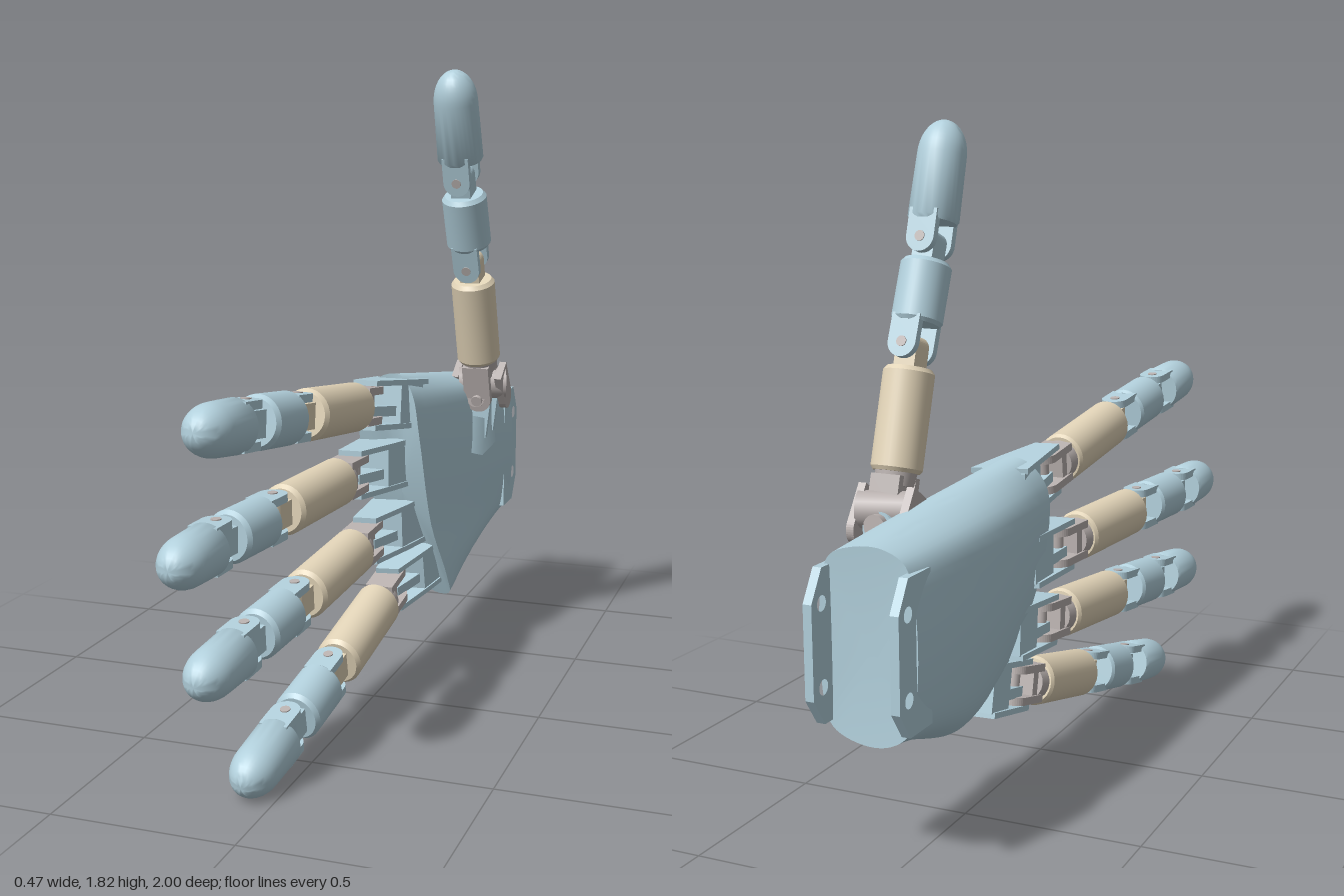
import * as THREE from 'three';
import { toCreasedNormals } from 'three/addons/utils/BufferGeometryUtils.js';

const blue = new THREE.MeshStandardMaterial({ color: 0xb2d0dc });
const tan = new THREE.MeshStandardMaterial({ color: 0xe2d4b8 });
const grey = new THREE.MeshStandardMaterial({ color: 0xbab2b0 });
const V = (x, y, z) => new THREE.Vector3(x, y, z);
const R = 0.071; // finger radius

function add(parent, name, geo, mat, x = 0, y = 0, z = 0) {
  const m = new THREE.Mesh(geo, mat);
  m.name = name;
  m.position.set(x, y, z);
  parent.add(m);
  return m;
}

// Flat plate: outline of [depth, along] points, extruded along local x and centred on it
function plate(outline, thickness, holes = []) {
  const s = outline instanceof THREE.Shape ? outline
    : new THREE.Shape(outline.map(([d, y]) => new THREE.Vector2(-d, y)));
  for (const [d, y, r] of holes) s.holes.push(new THREE.Path().absarc(-d, y, r, 0, Math.PI * 2, true));
  return new THREE.ExtrudeGeometry(s, { depth: thickness, bevelEnabled: false, curveSegments: 10 })
    .translate(0, 0, -thickness / 2).rotateY(Math.PI / 2);
}

// Strip with one round end; the round end is at y = 0, the straight end at y = len (either sign)
function tabShape(w, len) {
  const s = new THREE.Shape();
  const up = len > 0;
  s.moveTo(-w, len);
  s.lineTo(-w, 0);
  s.absarc(0, 0, w, Math.PI, up ? Math.PI * 2 : 0, !up);
  s.lineTo(w, len);
  s.closePath();
  return s;
}

const lathe = (pts) => toCreasedNormals(
  new THREE.LatheGeometry(pts.map(([r, y]) => new THREE.Vector2(r, y)), 32), 0.6);

// Group whose y axis runs from a to b, x is the hinge axis and z faces the palm side
function frame(parent, name, a, b) {
  const g = new THREE.Group();
  g.name = name;
  const Y = b.clone().sub(a).normalize();
  const X = Y.clone().cross(V(1, 0, 0)).normalize();
  g.setRotationFromMatrix(new THREE.Matrix4().makeBasis(X, Y, X.clone().cross(Y)));
  g.position.copy(a);
  parent.add(g);
  return g;
}

const hingePin = (len, r) => new THREE.CylinderGeometry(r, r, len, 16).rotateZ(Math.PI / 2);

// Forked start, round body, tongue towards the next hinge
function phalanx(g, mat, len, fork) {
  const a = 0.06, b = len - 0.055;
  add(g, 'body', lathe([[0, a], [R - 0.007, a], [R, a + 0.01], [R, b - 0.012], [R - 0.01, b], [0, b]]), mat)
    .scale.z = 0.94;
  add(g, 'tongue', plate(tabShape(0.03, -0.06), 0.07), mat, 0, len);
  if (fork) forkArms(g, mat);
}

function forkArms(g, mat) {
  for (const s of [-1, 1]) add(g, 'forkArm', plate(tabShape(0.04, 0.075), 0.022), mat, s * 0.051);
  add(g, 'hingePin', hingePin(0.13, 0.014), grey);
}

function fingertip(g, mat, len) {
  const pts = [[0, 0.05], [R - 0.007, 0.05], [R - 0.001, 0.06]];
  const start = len - 0.095;
  for (let i = 0; i <= 10; i++) {
    const t = (i / 10) * Math.PI / 2;
    pts.push([Math.max(0, 0.067 * Math.cos(t)), start + 0.095 * Math.sin(t)]);
  }
  add(g, 'tip', lathe(pts), mat).scale.z = 0.97;
  forkArms(g, mat);
}

// Grey two-way joint at the root of a finger
function knuckle(g) {
  add(g, 'knuckleCollar', new THREE.CylinderGeometry(0.056, 0.05, 0.04, 20), grey, 0, 0.045);
  for (const s of [-1, 1])
    add(g, 'knuckleArm', plate(tabShape(0.042, 0.11), 0.022, [[0, 0, 0.014]]), grey, s * 0.044, -0.06);
  add(g, 'knuckleBridge', new THREE.BoxGeometry(0.09, 0.035, 0.07), grey, 0, 0.012);
  add(g, 'knucklePin', hingePin(0.135, 0.017), grey, 0, -0.06);
}

// Lugs that carry the knuckle, widening into the palm
function palmLugs(g) {
  const outline = [[-0.035, -0.02], [-0.045, -0.25], [0.11, -0.28], [0.08, -0.17], [0.035, -0.03]];
  for (const s of [-1, 1]) add(g, 'palmLug', plate(outline, 0.016), blue, s * 0.065);
  add(g, 'lugBase', plate([[-0.03, -0.14], [-0.04, -0.26], [0.1, -0.26], [0.07, -0.15]], 0.12), blue);
  add(g, 'lugTongue', plate([[-0.02, -0.04], [-0.03, -0.16], [0.06, -0.16], [0.02, -0.05]], 0.03), blue, -0.02);
}

function digit(parent, name, p, isThumb) {
  const g = new THREE.Group();
  g.name = name;
  parent.add(g);
  const seg = (i, n) => [frame(g, n, p[i], p[i + 1]), p[i].distanceTo(p[i + 1])];
  const [near, l0] = seg(0, 'proximalPhalanx');
  phalanx(near, tan, l0, false);
  knuckle(near);
  if (!isThumb) palmLugs(near);
  const [mid, l1] = seg(1, 'middlePhalanx');
  phalanx(mid, blue, l1, true);
  const [far, l2] = seg(2, 'distalPhalanx');
  fingertip(far, blue, l2);
}

// Palm shell lofted from a boxy wrist section to an arched knuckle section; points are [x, height fraction]
function palmGeometry() {
  const wrist = [[0, 0], [-0.06, 0.08], [-0.085, 0.3], [-0.085, 0.7], [-0.06, 0.93], [0, 1],
    [0.08, 1], [0.15, 0.94], [0.175, 0.75], [0.175, 0.25], [0.15, 0.07], [0.08, 0]];
  const front = [[0.06, 0], [0, 0.1], [-0.07, 0.33], [-0.115, 0.65], [-0.11, 0.88], [-0.06, 0.99],
    [0, 1], [0.05, 0.93], [0.07, 0.75], [0.085, 0.35], [0.11, 0.1], [0.105, 0]];
  const N = 60, M = 12, pos = [], idx = [];
  for (let i = 0; i <= M; i++) {
    const u = i / M, e = u * u * (3 - 2 * u);
    const top = 0.85 + 0.1 * u, bottom = 0.36 - 0.135 * Math.min(1, 0.4 * u + 0.6 * e);
    const bulge = 0.025 * Math.sin(Math.PI * u);
    const ring = wrist.map(([wx, wt], j) => {
      const t = THREE.MathUtils.lerp(wt, front[j][1], u);
      const zf = -0.2 - 0.22 * (1 - t) ** 2 - 0.5 * Math.max(0, t - 0.92);
      let x = THREE.MathUtils.lerp(wx, front[j][0], 0.5 * (u + u * u));
      if (j > 0 && j < 5) x -= bulge;
      return V(x, THREE.MathUtils.lerp(bottom, top, t), THREE.MathUtils.lerp(-0.915, zf, u));
    });
    const curve = new THREE.CatmullRomCurve3(ring, true, 'centripetal');
    for (let j = 0; j < N; j++) pos.push(...curve.getPoint(j / N).toArray());
  }
  for (let i = 0; i < M; i++) for (let j = 0; j < N; j++) {
    const a = i * N + j, b = i * N + (j + 1) % N, c = a + N, d = b + N;
    idx.push(a, c, b, b, c, d);
  }
  // End caps
  const k = pos.length / 3;
  pos.push(0.045, 0.6, -0.9, 0.0, 0.58, -0.27);
  for (let j = 0; j < N; j++) {
    const n = (j + 1) % N;
    idx.push(k, j, n, k + 1, M * N + n, M * N + j);
  }
  const geo = new THREE.BufferGeometry();
  geo.setAttribute('position', new THREE.Float32BufferAttribute(pos, 3));
  geo.setIndex(idx);
  return toCreasedNormals(geo, 0.7);
}

export function createModel() {
  const hand = new THREE.Group();
  hand.name = 'mechanicalHand';
  add(hand, 'palm', palmGeometry(), blue);

  // Wrist brackets; plate depth runs along z
  const bracket = [[-0.84, 0.8], [-0.95, 0.8], [-0.998, 0.72], [-0.998, 0.48], [-0.95, 0.41], [-0.84, 0.41]];
  for (const x of [-0.073, 0.16])
    add(hand, 'wristBracket', plate(bracket, 0.024, [[-0.953, 0.713, 0.02], [-0.953, 0.504, 0.02]]), blue, x);

  // Fingers: knuckle, two hinges, tip end
  digit(hand, 'indexFinger', [V(-0.048, 0.892, -0.03), V(-0.055, 0.953, 0.45), V(-0.07, 0.99, 0.745), V(-0.088, 1.018, 1)]);
  digit(hand, 'middleFinger', [V(-0.095, 0.677, -0.03), V(-0.13, 0.677, 0.44), V(-0.16, 0.677, 0.73), V(-0.168, 0.677, 0.985)]);
  digit(hand, 'ringFinger', [V(-0.065, 0.463, -0.08), V(-0.09, 0.422, 0.385), V(-0.115, 0.397, 0.665), V(-0.135, 0.374, 0.93)]);
  digit(hand, 'littleFinger', [V(-0.018, 0.287, -0.165), V(-0.035, 0.187, 0.27), V(-0.052, 0.127, 0.545), V(-0.07, 0.073, 0.81)]);
  digit(hand, 'thumb', [V(0.155, 0.9, -0.585), V(0.152, 1.27, -0.475), V(0.148, 1.535, -0.375), V(0.146, 1.845, -0.28)], true);

  // Thumb mount on the palm
  const base = frame(hand, 'thumbMount', V(0.125, 0.66, -0.635), V(0.155, 0.88, -0.62));
  add(base, 'mountPost', new THREE.CylinderGeometry(0.05, 0.115, 0.2, 4).rotateY(Math.PI / 4).toNonIndexed(), blue, 0, 0.1)
    .scale.z = 0.6;
  for (const s of [-1, 1]) add(base, 'mountCheek', plate(tabShape(0.045, -0.12), 0.02), blue, s * 0.045, 0.17);
  add(base, 'mountPin', hingePin(0.15, 0.03), grey, 0, 0.18);
  const swivel = add(hand, 'thumbSwivel', new THREE.CylinderGeometry(0.05, 0.05, 0.15, 20).rotateZ(Math.PI / 2), grey, 0.15, 0.87, -0.625);
  swivel.rotation.y = 0.3;
  for (const x of [0.075, 0.215]) {
    const ear = add(hand, 'swivelEar', plate(tabShape(0.04, 0.11), 0.022), grey, x, 0.825, -0.665);
    ear.rotation.x = 0.6;
  }
  return hand;
}
